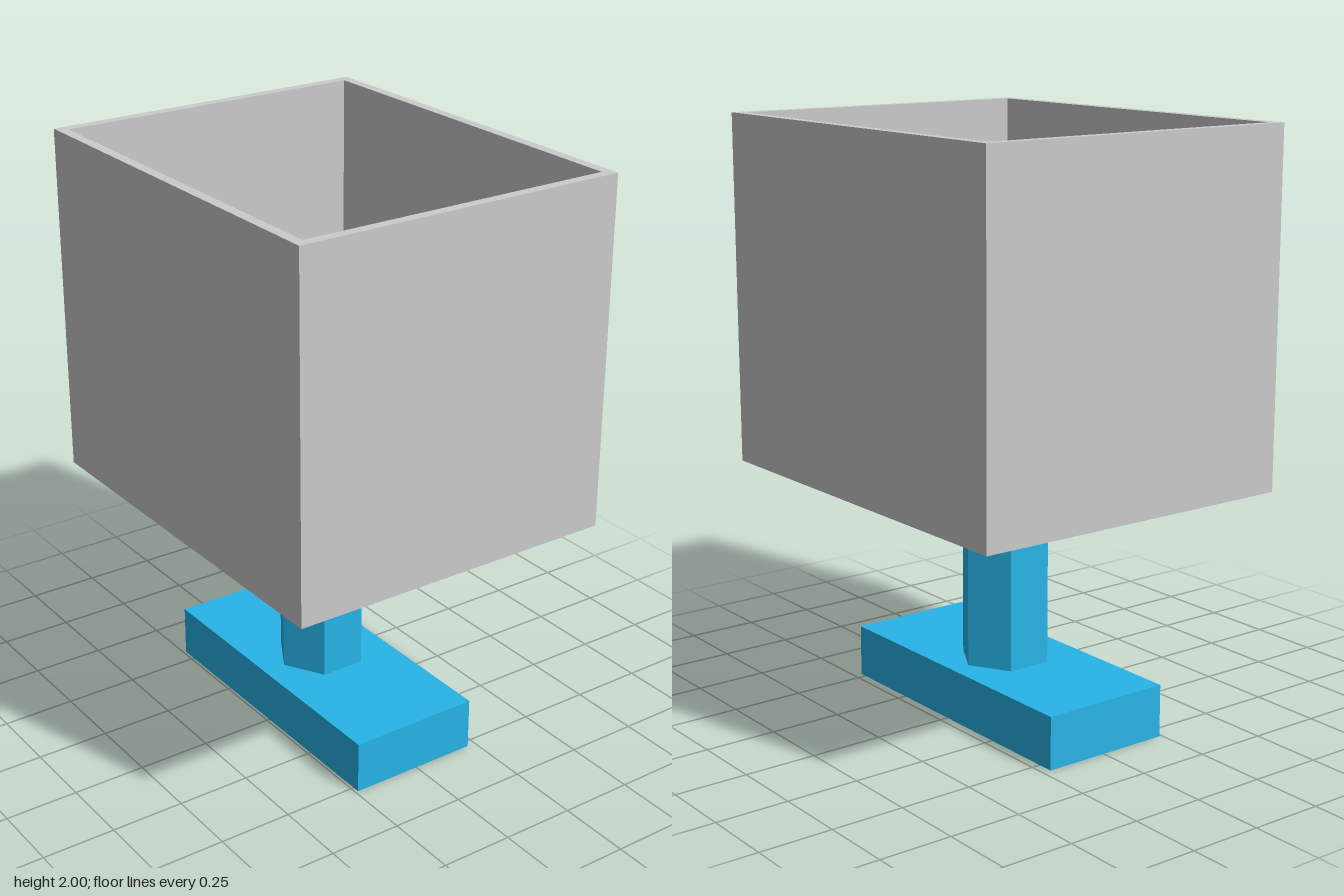
import * as THREE from 'three';

const grey = new THREE.MeshStandardMaterial({ color: 0xcccccc, flatShading: true });
const blue = new THREE.MeshStandardMaterial({ color: 0x27b4e8, flatShading: true });

function rectangle(path, w, d) {
  path.moveTo(-w / 2, -d / 2);
  path.lineTo(w / 2, -d / 2);
  path.lineTo(w / 2, d / 2);
  path.lineTo(-w / 2, d / 2);
  path.closePath();
  return path;
}

export function createModel() {
  const model = new THREE.Group();
  const add = (name, geometry, material, x, y, z) => {
    const mesh = new THREE.Mesh(geometry, material);
    mesh.name = name;
    mesh.position.set(x, y, z);
    model.add(mesh);
  };

  const width = 1.16, depth = 1.4, bottom = 0.81, wall = 0.035;
  const innerW = width - 2 * wall, innerD = depth - 2 * wall;

  // Open box: a rectangular ring of walls with a thin floor set inside
  const outline = rectangle(new THREE.Shape(), width, depth);
  outline.holes.push(rectangle(new THREE.Path(), innerW, innerD));
  const walls = new THREE.ExtrudeGeometry(outline, { depth: 2 - bottom, bevelEnabled: false });
  walls.rotateX(-Math.PI / 2);
  add('boxWalls', walls, grey, 0, bottom, 0);
  add('boxFloor', new THREE.BoxGeometry(innerW, wall, innerD), grey, 0, bottom + wall / 2, 0);

  // Hexagonal post, corners pointing sideways, its top just above the box floor
  const postBottom = 0.18, postTop = bottom + wall + 0.005;
  const post = new THREE.CylinderGeometry(0.155, 0.155, postTop - postBottom, 6);
  post.rotateY(Math.PI / 6);
  add('post', post, blue, -0.005, (postBottom + postTop) / 2, -0.025);

  // Foot slab
  add('foot', new THREE.BoxGeometry(0.46, 0.18, 1.08), blue, -0.01, 0.09, -0.015);

  return model;
}
